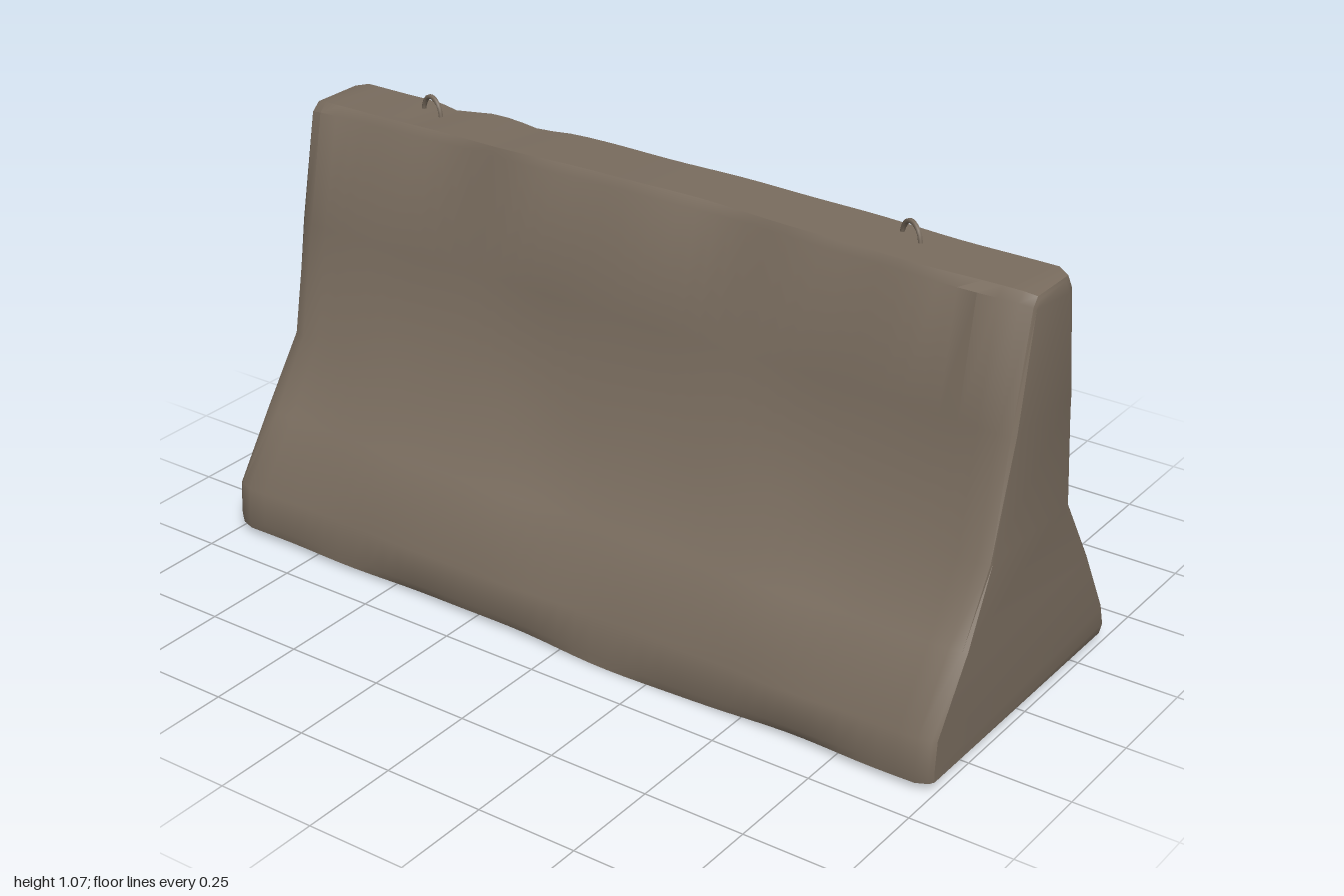
import * as THREE from 'three';
import { toCreasedNormals } from 'three/addons/utils/BufferGeometryUtils.js';

// Half profiles as [z, y], paired from the foot up to the crown
const FRONT = [[0.40, 0.022], [0.405, 0.045], [0.40, 0.13], [0.29, 0.293], [0.18, 0.46], [0.12, 0.74], [0.065, 1.015], [0.05, 1.035]];
const BACK = [[-0.39, 0.022], [-0.408, 0.04], [-0.398, 0.095], [-0.295, 0.27], [-0.183, 0.45], [-0.162, 0.74], [-0.132, 1.0], [-0.112, 1.035]];
const N = FRONT.length;

const bump = (x, centre, width) => Math.exp(-(((x - centre) / width) ** 2));

// Worn concrete: crown rises mid-span, foot sags, faces ripple, rear crown edge is chipped
function wear(x, z, y, row, side) {
  const ripple = 0.004 * Math.sin(7 * x + row * 1.3 + side) + 0.002 * Math.sin(17 * x + row * 2.1);
  if (row >= 6) y += 0.013 * bump(x, 0, 0.55);
  if (row <= 1) y += -0.016 * bump(x, 0.25, 0.28) - 0.006 * bump(x, -0.5, 0.2);
  if (side < 0 && row >= 6) {
    const chip = bump(x, -0.66, 0.05) + 0.7 * bump(x, -0.42, 0.06);
    z += 0.014 * chip;
    y -= 0.006 * chip;
  }
  return [x, y, z + (row === 1 ? ripple * 0.4 : ripple)];
}

// One cross-section; inset (0..1) draws it in for the rounded ends
function section(x, inset) {
  const end = Math.sign(x) * (inset === 1 ? 1 : 0);
  const point = ([z, y], row, side) => {
    const dz = side > 0 ? 0.015 : 0.034;
    const dy = row >= 6 ? -0.012 : row <= 1 ? 0.008 : 0;
    const waist = row === 4 ? -0.008 : row >= 6 ? -0.006 : 0;
    return wear(x + end * waist, z - side * dz * inset, y + dy * inset, row, side);
  };
  return [...FRONT.map((p, i) => point(p, i, 1)), ...BACK.map((p, i) => point(p, i, -1)).reverse()];
}

function barrierGeometry() {
  const stations = [[-0.995, 1], [-0.985, 0.5], [-0.955, 0]];
  for (let i = 1; i < 40; i++) stations.push([-0.955 + (1.91 * i) / 40, 0]);
  stations.push([0.955, 0], [0.985, 0.5], [0.995, 1]);
  const rings = stations.map(([x, inset]) => section(x, inset));
  const count = 2 * N;
  const index = [];
  const quad = (a, b, c, d) => index.push(a, b, c, a, c, d);
  // Skin between neighbouring sections
  for (let s = 0; s < rings.length - 1; s++) {
    for (let i = 0; i < count; i++) {
      const j = (i + 1) % count;
      quad(s * count + i, (s + 1) * count + i, (s + 1) * count + j, s * count + j);
    }
  }
  // End faces
  const last = (rings.length - 1) * count;
  for (let i = 0; i < N - 1; i++) {
    const f = i, g = i + 1, b = count - 1 - i, c = count - 2 - i;
    quad(last + f, last + b, last + c, last + g);
    quad(f, g, c, b);
  }
  const geometry = new THREE.BufferGeometry();
  geometry.setAttribute('position', new THREE.Float32BufferAttribute(rings.flat(2), 3));
  geometry.setIndex(index);
  return toCreasedNormals(geometry, 0.65);
}

// Bent steel lifting eye set into the crown
function liftingEye() {
  const path = new THREE.CatmullRomCurve3([
    [-0.038, -0.02], [-0.034, 0.012], [-0.016, 0.036], [0.008, 0.038], [0.028, 0.022], [0.038, -0.02],
  ].map(([x, y]) => new THREE.Vector3(x, y, 0)));
  return new THREE.TubeGeometry(path, 16, 0.006, 6);
}

export function createModel() {
  const concrete = new THREE.MeshStandardMaterial({ color: 0x7a6d5f });
  concrete.name = 'concrete';

  const model = new THREE.Group();
  model.name = 'concreteBarrier';

  const body = new THREE.Mesh(barrierGeometry(), concrete);
  body.name = 'barrierBody';
  model.add(body);

  const eye = liftingEye();
  for (const [name, x, z, turn] of [['rightLiftingEye', -0.7, -0.048, -0.28], ['leftLiftingEye', 0.625, -0.058, -0.45]]) {
    const mesh = new THREE.Mesh(eye, concrete);
    mesh.name = name;
    mesh.position.set(x, 1.035, z);
    mesh.rotation.y = turn;
    model.add(mesh);
  }
  return model;
}
